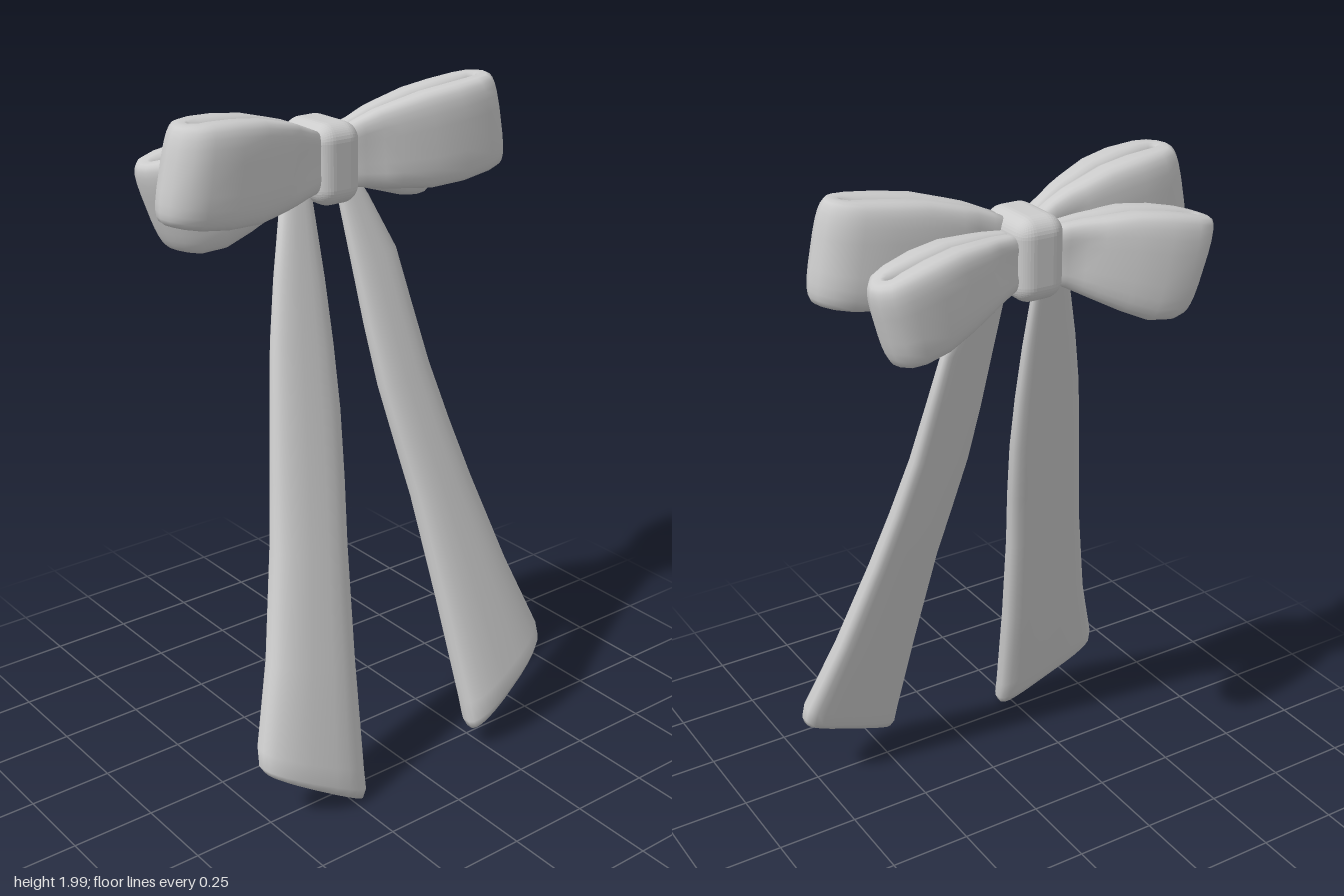
import * as THREE from 'three';
import { RoundedBoxGeometry } from 'three/addons/geometries/RoundedBoxGeometry.js';

const lerp = THREE.MathUtils.lerp;

// Rounded section as [across, along] pairs in -1..1
function section(count, power) {
  const soft = (v) => Math.sign(v) * Math.pow(Math.abs(v), 2 / power);
  return Array.from({ length: count }, (_, i) => {
    const a = ((i + 0.5) / count) * Math.PI * 2;
    return [soft(Math.cos(a)), soft(Math.sin(a))];
  });
}

// Skin a list of rings and close both ends
function loft(rings) {
  const n = rings[0].length;
  const points = rings.flat();
  const index = [];
  for (let r = 0; r < rings.length - 1; r++) {
    for (let i = 0; i < n; i++) {
      const a = r * n + i, b = r * n + ((i + 1) % n);
      index.push(a, b, a + n, b, b + n, a + n);
    }
  }
  [0, rings.length - 1].forEach((r) => {
    const centre = new THREE.Vector3();
    rings[r].forEach((p) => centre.addScaledVector(p, 1 / n));
    const c = points.push(centre) - 1;
    for (let i = 0; i < n; i++) {
      const a = r * n + i, b = r * n + ((i + 1) % n);
      if (r === 0) index.push(c, b, a);
      else index.push(c, a, b);
    }
  });
  // Turn the faces outward when the signed volume is negative
  let volume = 0;
  const cross = new THREE.Vector3();
  for (let i = 0; i < index.length; i += 3) {
    cross.crossVectors(points[index[i + 1]], points[index[i + 2]]);
    volume += points[index[i]].dot(cross);
  }
  if (volume < 0) index.reverse();
  const geometry = new THREE.BufferGeometry().setFromPoints(points);
  geometry.setIndex(index);
  geometry.computeVertexNormals();
  return geometry;
}

// Half of a loop seen from above: [outer u, outer w, inner u, inner w].
// The inner faces overlap slightly so the fold reads as a closed crease.
const HALF_LOOP = [
  [0.06, 0.046, 0.06, -0.012], [0.17, 0.053, 0.17, -0.014], [0.26, 0.065, 0.26, -0.015],
  [0.34, 0.076, 0.34, -0.016], [0.51, 0.091, 0.51, -0.016], [0.68, 0.098, 0.68, -0.014],
  [0.84, 0.09, 0.81, -0.008], [0.935, 0.071, 0.85, 0], [0.985, 0.034, 0.865, 0],
];
const LOOP_PATH = [
  ...HALF_LOOP,
  [1, 0, 0.87, 0],
  ...HALF_LOOP.map(([a, b, c, d]) => [a, -b, c, -d]).reverse(),
];

// Puffy ribbon folded back on itself; curves give height and depth along it
function loopGeometry({ side, length, width, z, bottom, top, lean }) {
  const pick = (list, u) => {
    const f = Math.min(Math.max(u, 0), 0.9999) * (list.length - 1);
    const i = Math.floor(f);
    return lerp(list[i], list[i + 1], f - i);
  };
  const shape = section(24, 3.4);
  return loft(LOOP_PATH.map(([ou, ow, iu, iw]) => shape.map(([s, v]) => {
    const k = (s + 1) / 2;
    const u = lerp(iu, ou, k);
    // Gathered dent beside the knot
    const dent = 1 - 0.22 * k * Math.exp(-(((u - 0.2) / 0.1) ** 2) - (v / 0.4) ** 2);
    const w = lerp(iw, ow, k) * width * dent;
    const y = lerp(pick(bottom, u), pick(top, u), (v + 1) / 2);
    return new THREE.Vector3(side * (u * length + lean * v * u), y, pick(z, u) + w);
  })));
}

// Cambered tail from stations: [inner x, inner y, outer x, outer y, half thickness]
function tailGeometry(stations, innerSlope) {
  const shape = section(24, 2.9);
  return loft(stations.map(([xi, yi, xo, yo, t]) => shape.map(([s, v]) => {
    const k = (s + 1) / 2;
    const y = lerp(yi, yo, k);
    const slope = lerp(innerSlope, 0.256, k);
    const camber = 0.2 * t * (1 - s * s);
    return new THREE.Vector3(lerp(xi, xo, k), y, -0.143 + slope * (1.7 - y) + t * v + camber);
  })));
}

export function createModel() {
  const group = new THREE.Group();
  const ribbon = new THREE.MeshStandardMaterial({ color: 0xcccccc });
  ribbon.name = 'ribbonGrey';
  const add = (name, geometry) => {
    const mesh = new THREE.Mesh(geometry, ribbon);
    mesh.name = name;
    group.add(mesh);
    return mesh;
  };

  // Front loops rise a little toward the tips, rear loops droop
  for (const side of [1, -1]) {
    const label = side > 0 ? 'Left' : 'Right';
    add('frontLoop' + label, loopGeometry({
      side, length: side > 0 ? 0.57 : 0.572, width: side > 0 ? 0.97 : 1.07, lean: -0.028,
      z: [-0.135, -0.11, -0.085, -0.07, -0.062],
      bottom: [1.73, 1.705, 1.69, 1.70, 1.735],
      top: [1.87, 1.93, 1.968, 1.987, side > 0 ? 2.0 : 1.985],
    }));
    add('rearLoop' + label, loopGeometry({
      side, length: side > 0 ? 0.507 : 0.49, width: 0.95, lean: side > 0 ? 0.03 : 0.045,
      z: [-0.19, -0.205, -0.235, -0.26, -0.28],
      bottom: side > 0 ? [1.74, 1.70, 1.66, 1.62, 1.61] : [1.74, 1.68, 1.62, 1.57, 1.59],
      top: [1.86, 1.875, 1.885, 1.87, 1.83],
    }));
  }

  // Centre knot, slightly fuller at the middle
  const knot = new RoundedBoxGeometry(0.15, 0.232, 0.212, 5, 0.05);
  const pos = knot.attributes.position;
  for (let i = 0; i < pos.count; i++) {
    const bulge = 1.02 - 0.06 * (Math.abs(pos.getY(i)) / 0.116) ** 2;
    pos.setX(i, pos.getX(i) * bulge);
  }
  knot.computeVertexNormals();
  add('knot', knot).position.set(0.006, 1.795, -0.162);

  // Hanging tails with slanted, blunt, softly rounded ends
  add('tailLeft', tailGeometry([
    [0.05, 1.77, 0.1, 1.77, 0.015], [0.05, 1.68, 0.15, 1.68, 0.02],
    [0.06, 1.5, 0.22, 1.52, 0.028], [0.07, 1.32, 0.245, 1.36, 0.034],
    [0.085, 1.14, 0.275, 1.18, 0.039], [0.112, 0.97, 0.318, 1.0, 0.043],
    [0.14, 0.8, 0.367, 0.82, 0.047], [0.172, 0.48, 0.455, 0.54, 0.052],
    [0.198, 0.16, 0.543, 0.31, 0.056], [0.2, 0.1, 0.547, 0.265, 0.053],
    [0.21, 0.076, 0.54, 0.242, 0.042],
  ], 0.277));
  add('tailRight', tailGeometry([
    [-0.045, 1.77, -0.1, 1.77, 0.015], [-0.045, 1.68, -0.155, 1.68, 0.02],
    [-0.048, 1.48, -0.21, 1.5, 0.028], [-0.056, 1.3, -0.255, 1.33, 0.034],
    [-0.07, 1.12, -0.292, 1.15, 0.039], [-0.095, 0.93, -0.33, 0.96, 0.043],
    [-0.125, 0.74, -0.366, 0.78, 0.047], [-0.165, 0.42, -0.44, 0.48, 0.052],
    [-0.197, 0.1, -0.516, 0.25, 0.055], [-0.2, 0.035, -0.522, 0.2, 0.05],
    [-0.214, 0.008, -0.51, 0.178, 0.04],
  ], 0.265));

  return group;
}
